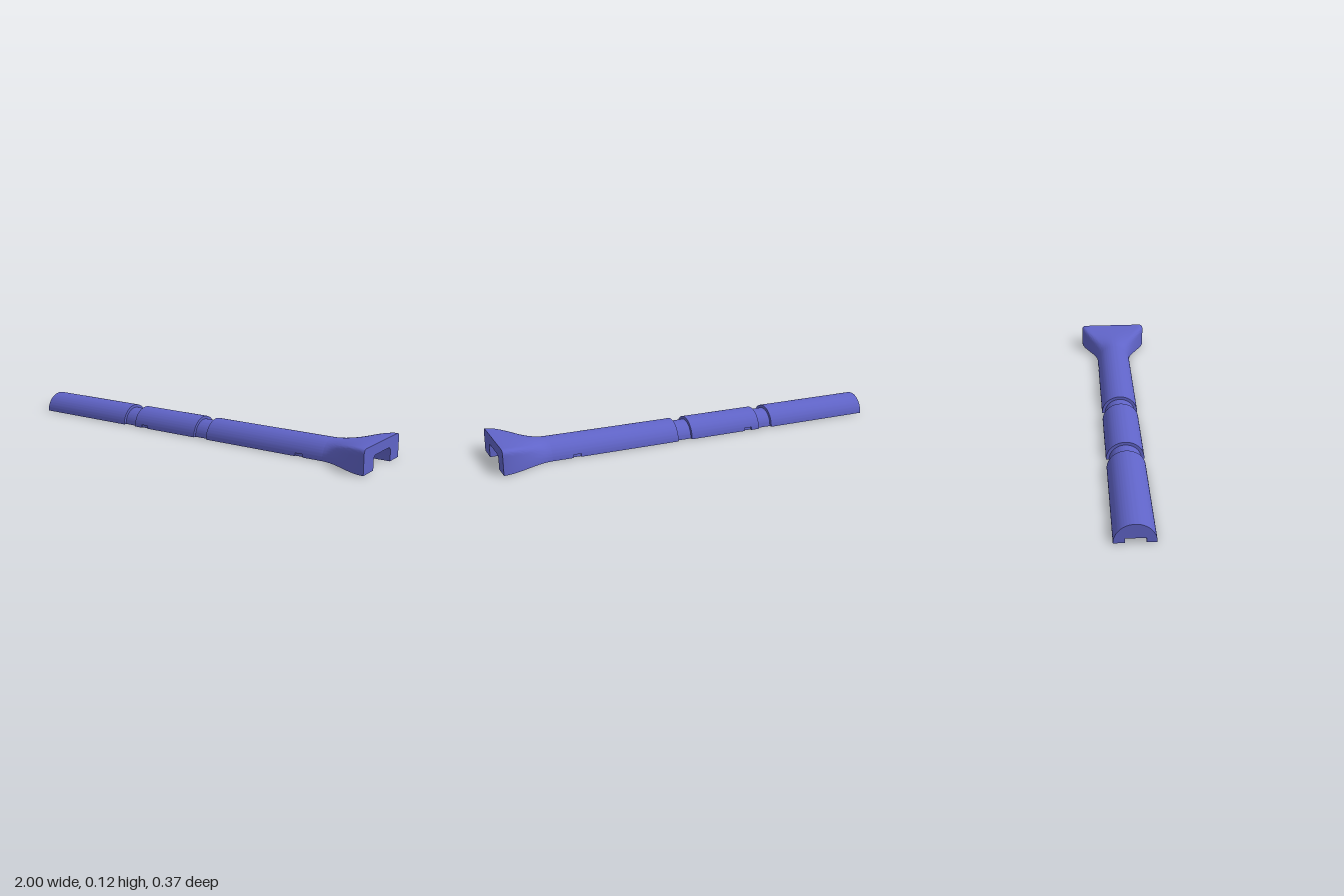
import * as THREE from 'three';
import { mergeGeometries, toCreasedNormals } from 'three/addons/utils/BufferGeometryUtils.js';

const R = 0.092, CZ = -0.007, HALF = 24;

// Outline points are [z, y], running from the +z foot over the top to the -z foot
function mirrorHalf(half) {
  return [...half, ...half.slice(0, -1).reverse().map(([z, y]) => [-z, y])];
}
const shift = (pts, dz) => pts.map(([z, y]) => [z + dz, y]);

function arch(r) {
  const half = [];
  for (let k = 0; k <= HALF; k++) {
    const a = (Math.PI / 2) * k / HALF;
    half.push([r * Math.cos(a), r * Math.sin(a)]);
  }
  return mirrorHalf(half);
}

function roundedBox(w, h, r, side = 9, corner = 5, top = 10) {
  const half = [];
  for (let k = 0; k < side; k++) half.push([w, (h - r) * k / side]);
  for (let k = 0; k <= corner; k++) {
    const a = (Math.PI / 2) * k / corner;
    half.push([w - r + r * Math.cos(a), h - r + r * Math.sin(a)]);
  }
  for (let k = 1; k <= top; k++) half.push([(w - r) * (1 - k / top), h]);
  return mirrorHalf(half);
}

// Half-round grip with small latch notches cut in both lower edges
function notchedArch() {
  const y = 0.015, d = R - 0.009;
  const pts = arch(R).filter((p) => p[1] > y);
  const z = Math.sqrt(R * R - y * y);
  return [[d, 0], [d, y], [z, y], ...pts, [-z, y], [-d, y], [-d, 0]];
}

// Outer skin of the flare at position x
const ARCH = arch(R), BOX = roundedBox(0.184, 0.117, 0.02);
function flareSkin(x) {
  const t = (x - 0.75) / 0.25;
  const s = t * t * (3 - 2 * t);
  return ARCH.map(([z, y], i) => [
    (z + CZ) * (1 - s) + BOX[i][0] * s,
    y * (1 - s) + BOX[i][1] * s,
  ]);
}

// Inner cavities, open at the bottom
const rect = (w, h) => [[w, 0], [w, h], [-w, h], [-w, 0]];
const cavity = {
  tail: rect(0.045, 0.022),
  middle: rect(0.045, 0.045),
  neck: arch(0.03),
  seat: [[0.069, 0], [0.069, 0.046], [0.015, 0.046], [0.015, 0.053],
    [-0.015, 0.053], [-0.015, 0.046], [-0.069, 0.046], [-0.069, 0]],
  socket: roundedBox(0.089, 0.068, 0.02, 1, 6, 1),
};

// Solid between cross-sections along x, closed at both ends
function loft(x0, x1, rings, skin, inner) {
  const hole = shift(inner, CZ + 0.002).reverse();
  const pos = [];
  const sections = [];
  for (let i = 0; i <= rings; i++) {
    const x = x0 + (x1 - x0) * i / rings;
    sections.push([...skin(x), ...hole].map(([z, y]) => [x, y, z]));
  }
  for (let i = 0; i < rings; i++) {
    const A = sections[i], B = sections[i + 1];
    for (let j = 0; j < A.length; j++) {
      const k = (j + 1) % A.length;
      pos.push(...A[j], ...B[j], ...A[k], ...A[k], ...B[j], ...B[k]);
    }
  }
  const cap = (S, flip) => {
    const flat = S.map((p) => new THREE.Vector2(p[2], p[1]));
    for (const [a, b, c] of THREE.ShapeUtils.triangulateShape(flat, [])) {
      pos.push(...S[a], ...S[flip ? c : b], ...S[flip ? b : c]);
    }
  };
  cap(sections[0], false);
  cap(sections[rings], true);
  const g = new THREE.BufferGeometry();
  g.setAttribute('position', new THREE.Float32BufferAttribute(pos, 3));
  return g;
}

export function createModel() {
  const group = new THREE.Group();
  const blue = new THREE.MeshStandardMaterial({ color: 0x6064c8 });
  blue.name = 'violetBlue';

  const add = (name, parts) => {
    const mesh = new THREE.Mesh(toCreasedNormals(mergeGeometries(parts), 0.5), blue);
    mesh.name = name;
    group.add(mesh);
  };
  const grip = shift(arch(R), CZ);
  const neckRing = shift(arch(0.077), CZ);
  const notched = shift(notchedArch(), CZ);
  const piece = (x0, x1, skin, inner) => loft(x0, x1, 1, () => skin, inner);

  // Grip sections separated by two grooves
  add('rearGrip', [
    piece(-1, -0.56, grip, cavity.tail),
    piece(-0.56, -0.43, grip, cavity.middle),
  ]);
  add('rearGroove', [piece(-0.43, -0.355, neckRing, cavity.middle)]);
  add('middleGrip', [
    piece(-0.355, -0.31, grip, cavity.middle),
    piece(-0.31, -0.27, notched, cavity.middle),
    piece(-0.27, 0.03, grip, cavity.middle),
  ]);
  add('frontGroove', [piece(0.03, 0.105, neckRing, cavity.middle)]);
  add('frontGrip', [
    piece(0.105, 0.45, grip, cavity.middle),
    piece(0.45, 0.61, grip, cavity.neck),
    piece(0.61, 0.65, notched, cavity.neck),
    piece(0.65, 0.75, grip, cavity.neck),
  ]);

  // Flared head with a stepped socket
  add('flaredHead', [
    loft(0.75, 0.82, 5, flareSkin, cavity.neck),
    loft(0.82, 0.87, 4, flareSkin, cavity.seat),
    loft(0.87, 1, 9, flareSkin, cavity.socket),
  ]);
  return group;
}
